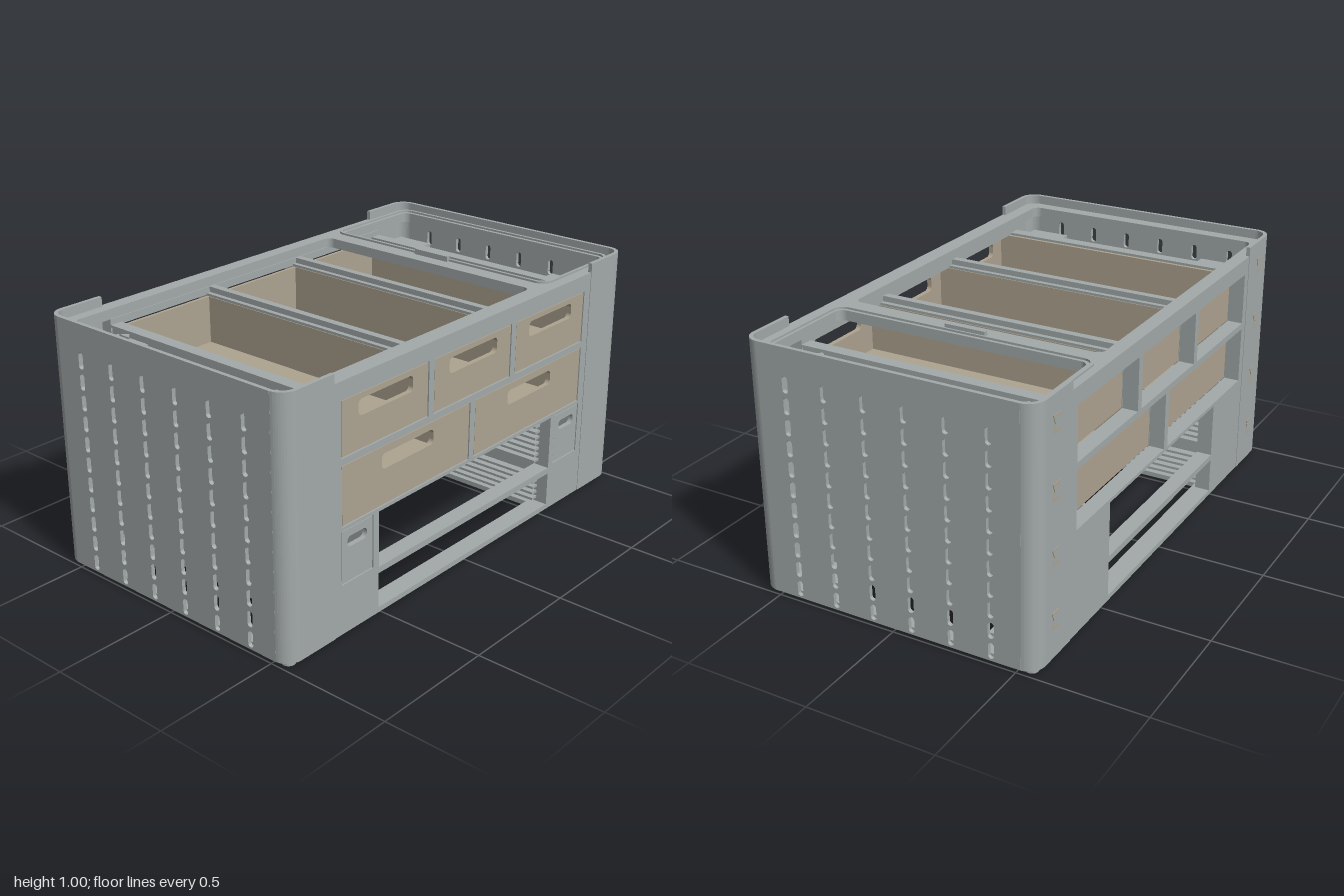
import * as THREE from 'three';

const grey = new THREE.MeshStandardMaterial({ color: 0xa3aaaa });
grey.name = 'frame grey';
const tan = new THREE.MeshStandardMaterial({ color: 0xada390 });
tan.name = 'drawer tan';

// Rounded rectangle between two corners, as a shape or a hole
function rect(x0, x1, y0, y1, r = 0, Type = THREE.Path) {
  const p = new Type();
  if (!r) {
    p.moveTo(x0, y0).lineTo(x1, y0).lineTo(x1, y1).lineTo(x0, y1).closePath();
    return p;
  }
  p.moveTo(x0 + r, y0);
  p.lineTo(x1 - r, y0).absarc(x1 - r, y0 + r, r, -Math.PI / 2, 0);
  p.lineTo(x1, y1 - r).absarc(x1 - r, y1 - r, r, 0, Math.PI / 2);
  p.lineTo(x0 + r, y1).absarc(x0 + r, y1 - r, r, Math.PI / 2, Math.PI);
  p.lineTo(x0, y0 + r).absarc(x0 + r, y0 + r, r, Math.PI, Math.PI * 1.5);
  return p;
}

const outline = (x0, x1, y0, y1, r) => rect(x0, x1, y0, y1, r, THREE.Shape);

function extrude(shape, depth, holes = [], curveSegments = 6) {
  shape.holes.push(...holes);
  return new THREE.ExtrudeGeometry(shape, { depth, bevelEnabled: false, curveSegments });
}

function add(parent, name, geometry, material = grey) {
  const mesh = new THREE.Mesh(geometry, material);
  mesh.name = name;
  parent.add(mesh);
  return mesh;
}

// Box given by its extents on each axis
function box(parent, name, x0, x1, y0, y1, z0, z1, material = grey) {
  const g = new THREE.BoxGeometry(x1 - x0, y1 - y0, z1 - z0);
  g.translate((x0 + x1) / 2, (y0 + y1) / 2, (z0 + z1) / 2);
  return add(parent, name, g, material);
}

// Horizontal plate whose lower face is at y
function slab(parent, name, shape, y, height, holes) {
  const g = extrude(shape, height, holes).rotateX(-Math.PI / 2).translate(0, y, 0);
  return add(parent, name, g);
}

// Open-topped drawer with a rounded grip cut through its front
function drawer(parent, name, x0, x1, y0, y1, grip, material) {
  const d = new THREE.Group();
  d.name = name;
  const t = 0.014, back = -0.515, front = 0.556;
  const face = extrude(outline(x0, x1, y0, y1), 0.02, [rect(...grip, 0.018)]);
  add(d, 'drawerFront', face.translate(0, 0, front), material);
  box(d, 'drawerBack', x0, x1, y0, y1, back, back + t, material);
  box(d, 'drawerFloor', x0 + t, x1 - t, y0, y0 + t, back + t, front, material);
  box(d, 'drawerSideRight', x0, x0 + t, y0, y1, back + t, front, material);
  box(d, 'drawerSideLeft', x1 - t, x1, y0, y1, back + t, front, material);
  parent.add(d);
}

export function createModel() {
  const model = new THREE.Group();
  model.name = 'drawerCabinet';

  // Front and back frames with openings
  const drawerHoles = () => [
    rect(-0.725, -0.264, 0.69, 0.9), rect(-0.234, 0.229, 0.69, 0.9), rect(0.259, 0.72, 0.69, 0.9),
    rect(-0.725, -0.015, 0.434, 0.664), rect(0.015, 0.72, 0.434, 0.664),
  ];
  const bayHoles = (w) => [rect(-w, w, 0.2, 0.42), rect(-w, w, 0.036, 0.175)];
  const sideHoles = [rect(-0.727, -0.56, 0.21, 0.42), rect(0.56, 0.727, 0.21, 0.42)];
  const frontFrame = extrude(outline(-0.765, 0.765, 0.016, 0.93), 0.068,
    [...drawerHoles(), ...bayHoles(0.53), ...sideHoles]);
  add(model, 'frontFrame', frontFrame.translate(0, 0, 0.51));
  const backFrame = extrude(outline(-0.765, 0.765, 0.016, 0.93), 0.062,
    [...drawerHoles(), ...bayHoles(0.465)]);
  add(model, 'backFrame', backFrame.translate(0, 0, -0.578));

  // Drawers: three above, two below, a small one at each side
  const topRow = [[-0.721, -0.268], [-0.23, 0.225], [0.263, 0.716]];
  for (const [a, b] of topRow) {
    const c = (a + b) / 2;
    drawer(model, 'upperDrawer', a, b, 0.694, 0.896, [c - 0.143, c + 0.143, 0.814, 0.875], tan);
  }
  for (const [a, b, c] of [[-0.721, -0.019, -0.372], [0.019, 0.716, 0.366]])
    drawer(model, 'lowerDrawer', a, b, 0.438, 0.66, [c - 0.143, c + 0.143, 0.573, 0.632], tan);
  for (const c of [-0.6435, 0.6435])
    drawer(model, 'sideDrawer', c - 0.08, c + 0.08, 0.214, 0.416, [c - 0.052, c + 0.052, 0.345, 0.386], grey);

  // Dividers between drawers
  for (const x of [-0.249, 0.244]) {
    box(model, 'upperDivider', x - 0.015, x + 0.015, 0.69, 0.9, -0.515, 0.51);
    box(model, 'dividerCap', x - 0.034, x + 0.034, 0.898, 0.908, -0.515, 0.51);
    box(model, 'dividerRib', x - 0.015, x + 0.015, 0.908, 0.93, -0.515, 0.51);
  }
  box(model, 'lowerDivider', -0.015, 0.015, 0.434, 0.664, -0.515, 0.51);

  // Top deck with a long and a short opening
  slab(model, 'topDeck', outline(-0.984, 0.984, -0.578, 0.578, 0.06), 0.928, 0.04,
    [rect(-0.93, 0.44, -0.508, 0.52, 0.03), rect(0.535, 0.955, -0.508, 0.52, 0.03)]);
  slab(model, 'openingLip', outline(0.51, 0.982, -0.53, 0.546, 0.05), 0.968, 0.008,
    [rect(0.522, 0.97, -0.518, 0.534, 0.04)]);
  box(model, 'deckTab', 0.497, 0.515, 0.965, 0.99, -0.1, 0.065);

  // Bottom plate, open under the centre and both end bays
  slab(model, 'bottomPlate', outline(-0.985, 0.985, -0.578, 0.578, 0.06), 0.015, 0.02,
    [rect(-0.5, 0.5, -0.5, 0.5), rect(-0.93, -0.76, -0.48, 0.48), rect(0.76, 0.93, -0.48, 0.48)]);

  for (const s of [-1, 1]) {
    const end = new THREE.Group();
    end.name = s > 0 ? 'leftEnd' : 'rightEnd';
    model.add(end);
    const span = (name, a, b, ...rest) =>
      box(end, name, Math.min(s * a, s * b), Math.max(s * a, s * b), ...rest);

    // End panel with rows of slots
    const slots = [];
    for (let i = 0; i < 6; i++)
      for (let j = 0; j < 11; j++) {
        const z = -0.404 + i * 0.1616, y = 0.055 + j * 0.081;
        slots.push(rect(z - 0.012, z + 0.012, y - 0.032, y + 0.032, 0.0115));
      }
    const panel = extrude(outline(-0.52, 0.52, 0.015, 1.005), 0.016, slots, 3);
    add(end, 'slottedPanel', panel.rotateY(Math.PI / 2).translate(s > 0 ? 0.984 : -1, 0, 0));

    // Inner wall and its cap
    span('innerWall', 0.73, 0.76, 0.03, 0.9, -0.515, 0.51);
    span('innerWallCap', 0.715, 0.765, 0.898, 0.908, -0.515, 0.51);

    // Wall and shelf runners beside the lower bay
    span('bayWall', 0.53, 0.545, 0.03, 0.43, -0.515, 0.51);
    for (const [y0, n] of [[0.05, 5], [0.218, 8]])
      for (let i = 0; i < n; i++)
        span('shelfRunner', 0.498, 0.53, y0 + i * 0.025, y0 + i * 0.025 + 0.01, -0.515, 0.53);

    for (const f of [-1, 1]) {
      // Rounded shell corner with its flange
      const corner = new THREE.Shape();
      corner.moveTo(s, f * 0.515);
      corner.absarc(s * 0.935, f * 0.515, 0.065, s > 0 ? 0 : Math.PI, f * Math.PI / 2, s * f < 0);
      corner.lineTo(s * 0.76, f * 0.58).lineTo(s * 0.76, f * 0.564).lineTo(s * 0.935, f * 0.564);
      corner.absarc(s * 0.935, f * 0.515, 0.049, f * Math.PI / 2, s > 0 ? 0 : Math.PI, s * f > 0);
      corner.closePath();
      slab(end, 'shellCorner', corner, 0.015, 0.99);

      // Corner plates with a triangular latch
      const z0 = f > 0 ? 0.32 : -0.485, z1 = z0 + 0.165;
      span('lowerCornerPlate', 0.755, 0.88, 0.015, 0.035, z0, z1);
      span('upperCornerPlate', 0.755, 0.88, 0.86, 0.88, z0, z1);
      const latch = new THREE.Shape();
      latch.moveTo(s * 0.76, -f * 0.42).lineTo(s * 0.785, -f * 0.395).lineTo(s * 0.785, -f * 0.445);
      slab(end, 'latch', latch, 0.88, 0.015);

      // Foot
      const foot = new THREE.CylinderGeometry(0.026, 0.026, 0.018, 20);
      add(end, 'foot', foot).position.set(s * 0.955, 0.009, f * 0.538);
    }

    // Bow-tie joints on the back flange
    for (const y of [0.9, 0.655, 0.41, 0.165]) {
      const tie = (Type, k) => new Type([[-1, 1], [1, 1], [0.45, 0], [1, -1], [-1, -1], [-0.45, 0]]
        .map(([a, b]) => new THREE.Vector2(a * 0.024 * k, b * 0.032 * k)));
      const joint = extrude(tie(THREE.Shape, 1), 0.003, [tie(THREE.Path, 0.72)]);
      add(end, 'backJoint', joint, tan).position.set(s * 0.87, y, -0.582);
    }
  }
  return model;
}
